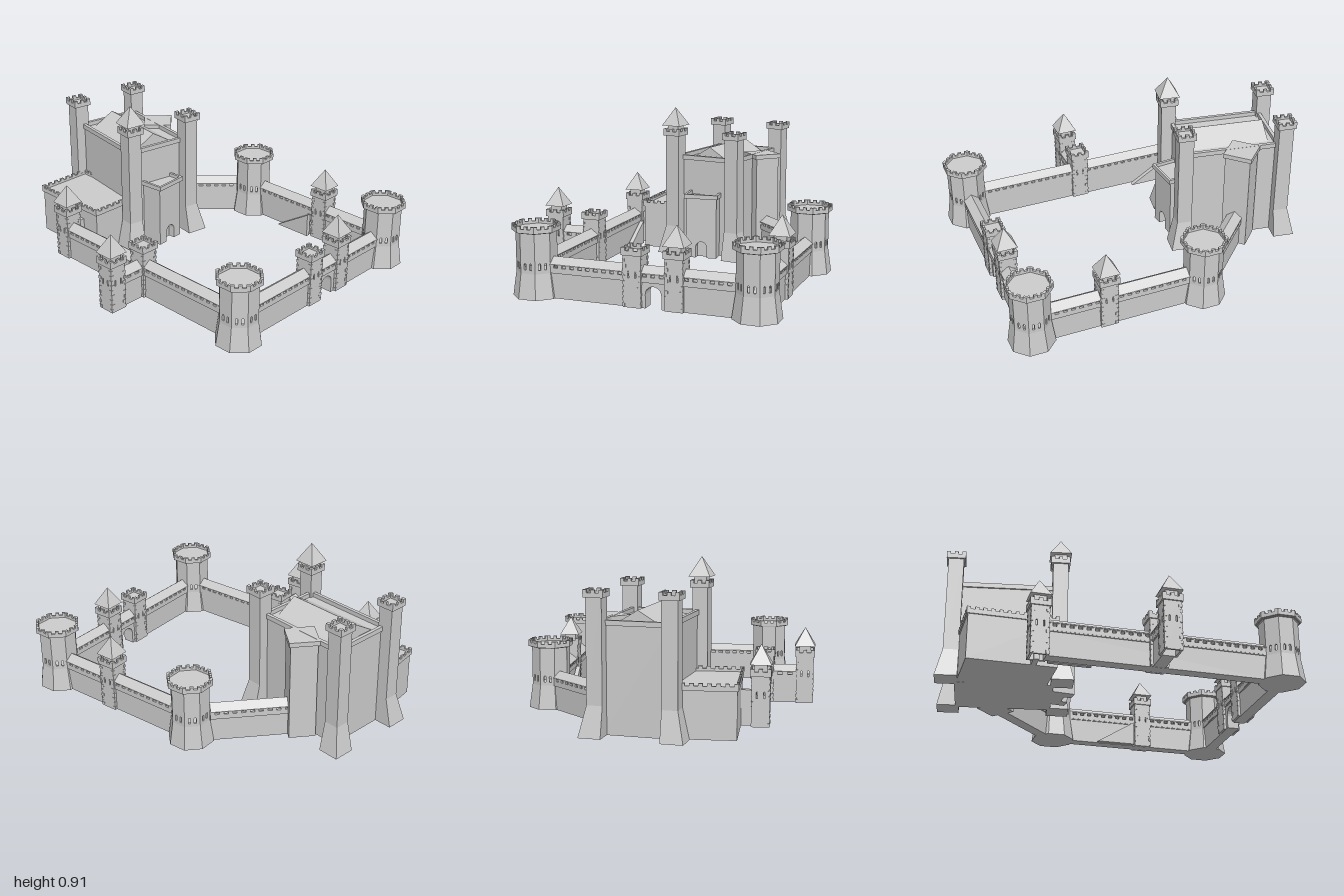
import * as THREE from 'three';

const mat = new THREE.MeshStandardMaterial({ color: 0xcccccc, flatShading: true });

function add(parent, name, geo, x = 0, y = 0, z = 0, ry = 0) {
  const m = new THREE.Mesh(geo, mat);
  m.name = name;
  m.position.set(x, y, z);
  m.rotation.y = ry;
  parent.add(m);
  return m;
}

function group(parent, name, x = 0, z = 0, ry = 0) {
  const g = new THREE.Group();
  g.name = name;
  g.position.set(x, 0, z);
  g.rotation.y = ry;
  parent.add(g);
  return g;
}

// Box standing on y0
function block(parent, name, w, y0, y1, d, x = 0, z = 0, ry = 0) {
  return add(parent, name, new THREE.BoxGeometry(w, y1 - y0, d), x, (y0 + y1) / 2, z, ry);
}

function extrude(points, depth, holes = []) {
  const s = new THREE.Shape(points.map(p => new THREE.Vector2(...p)));
  s.holes = holes;
  return new THREE.ExtrudeGeometry(s, { depth, bevelEnabled: false });
}

// Parapet panel with n merlons; its outer face lies on z = 0
function battlement(w, h, t, n, notch) {
  const pts = [[-w / 2, 0], [w / 2, 0]], m = w / (2 * n - 1);
  for (let i = 0; i < n; i++) {
    const x = w / 2 - 2 * i * m;
    pts.push([x, h], [x - m, h]);
    if (i < n - 1) pts.push([x - m, h - notch], [x - 2 * m, h - notch]);
  }
  return extrude(pts, t).translate(0, 0, -t);
}

// Parapet around a w by d rectangle
function parapet(parent, w, d, y, h, t, nw, nd, notch) {
  for (let i = 0; i < 4; i++) {
    const a = i * Math.PI / 2, odd = i % 2;
    const r = (odd ? w : d) / 2;
    add(parent, 'parapet', battlement(odd ? d : w, h, t, odd ? nd : nw, notch), Math.sin(a) * r, y, Math.cos(a) * r, a);
  }
}

// Hollow shaft made of flat sides, each with two arrow slits
function slitShaft(parent, sides, r, y0, y1, sw, sh, gap) {
  const w = 2 * r * Math.tan(Math.PI / sides), t = 0.012;
  const holes = [-gap, gap].map(x => {
    const p = new THREE.Path(), b = 0.16 - y0;
    p.moveTo(x - sw / 2, b);
    p.lineTo(x - sw / 2, b + sh);
    p.absarc(x, b + sh, sw / 2, Math.PI, 0, true);
    p.lineTo(x + sw / 2, b);
    p.closePath();
    return p;
  });
  const geo = extrude([[-w / 2, 0], [w / 2, 0], [w / 2, y1 - y0], [-w / 2, y1 - y0]], t, holes).translate(0, 0, r - t);
  for (let i = 0; i < sides; i++) add(parent, 'shaftSide', geo, 0, y0, 0, i * 2 * Math.PI / sides);
}

function pyramid(parent, half, y0, y1) {
  const g = new THREE.ConeGeometry(half * Math.SQRT2, y1 - y0, 4).rotateY(Math.PI / 4);
  add(parent, 'pyramidRoof', g, 0, (y0 + y1) / 2, 0);
}

function octagonTower(parent, x, z) {
  const g = group(parent, 'octagonTower', x, z), k = 1 / Math.cos(Math.PI / 8);
  const prism = (r1, r0, h) => new THREE.CylinderGeometry(r1 * k, r0 * k, h, 8).rotateY(Math.PI / 8);
  add(g, 'flaredBase', prism(0.103, 0.122, 0.14), 0, 0.07, 0);
  slitShaft(g, 8, 0.103, 0.14, 0.365, 0.012, 0.03, 0.016);
  add(g, 'topFloor', prism(0.118, 0.112, 0.012), 0, 0.366, 0);
  const side = 2 * 0.122 * Math.tan(Math.PI / 8);
  for (let i = 0; i < 8; i++) {
    const a = i * Math.PI / 4;
    add(g, 'crown', battlement(side, 0.037, 0.014, 3, 0.015), Math.sin(a) * 0.122, 0.364, Math.cos(a) * 0.122, a);
  }
}

function squareTower(parent, x, z, roofed) {
  const g = group(parent, 'squareTower', x, z);
  slitShaft(g, 4, 0.05, 0, 0.285, 0.008, 0.032, 0.02);
  // Corner stones
  for (const sx of [-1, 1]) for (const sz of [-1, 1]) for (let i = 0; i < 9; i++) {
    const long = i % 2;
    block(g, 'cornerStone', long ? 0.02 : 0.012, i * 0.03 + 0.005, i * 0.03 + 0.022, long ? 0.012 : 0.02,
      sx * (0.052 - (long ? 0.01 : 0.006)), sz * (0.052 - (long ? 0.006 : 0.01)));
  }
  block(g, 'topFloor', 0.11, 0.28, 0.294, 0.11);
  parapet(g, 0.116, 0.116, 0.28, 0.042, 0.012, 3, 3, 0.016);
  if (roofed) {
    block(g, 'roofCore', 0.07, 0.29, 0.346, 0.07);
    pyramid(g, 0.06, 0.345, 0.453);
  }
}

// Curtain wall with battlements on both sides and a small gabled roof
function wall(parent, x0, z0, x1, z1, gate) {
  const L = Math.hypot(x1 - x0, z1 - z0);
  const g = group(parent, 'curtainWall', (x0 + x1) / 2, (z0 + z1) / 2, -Math.atan2(z1 - z0, x1 - x0));
  const pts = [[-L / 2, 0]];
  if (gate !== undefined) {
    pts.push([gate - 0.045, 0]);
    for (let i = 0; i <= 10; i++) {
      const a = Math.PI * (1 - i / 10);
      pts.push([gate + 0.045 * Math.cos(a), 0.075 + 0.045 * Math.sin(a)]);
    }
    pts.push([gate + 0.045, 0]);
  }
  pts.push([L / 2, 0], [L / 2, 0.145], [-L / 2, 0.145]);
  add(g, 'wallBody', extrude(pts, 0.07).translate(0, 0, -0.035));
  block(g, 'wallWalk', L, 0.14, 0.15, 0.084);
  for (const a of [0, Math.PI])
    add(g, 'battlement', battlement(L, 0.045, 0.012, Math.max(2, Math.round(L / 0.045)), 0.02), 0, 0.145, a ? -0.043 : 0.043, a);
  const roof = extrude([[-0.047, 0.185], [0.047, 0.185], [0.047, 0.19], [0, 0.225], [-0.047, 0.19]], L);
  add(g, 'wallRoof', roof.translate(0, 0, -L / 2).rotateY(Math.PI / 2));
}

// Ramp rising along an inner wall face from z0 to z1
function ramp(parent, x, z0, z1) {
  const l = Math.abs(z1 - z0), s = Math.sign(z1 - z0);
  const geo = extrude([[-l / 2, 0], [l / 2, 0], [l / 2, 0.145]], 0.026).translate(0, 0, -0.013);
  add(parent, 'wallRamp', geo, x, 0, (z0 + z1) / 2, -s * Math.PI / 2);
}

// Tall corner tower whose foot spreads on its two outer sides
function keepTower(parent, sx, sz, roofed) {
  const g = group(parent, 'keepTower', sx * 0.205, sz * 0.3);
  block(g, 'shaft', 0.088, 0.17, 0.745, 0.088);
  const foot = new THREE.BoxGeometry(0.088, 0.17, 0.088), p = foot.attributes.position;
  for (let i = 0; i < p.count; i++) if (p.getY(i) < 0) {
    if (p.getX(i) * sx > 0) p.setX(i, sx * 0.082);
    if (p.getZ(i) * sz > 0) p.setZ(i, sz * 0.082);
  }
  add(g, 'spreadFoot', foot, 0, 0.085, 0);
  block(g, 'topFloor', 0.104, 0.738, 0.752, 0.104);
  parapet(g, 0.11, 0.11, 0.738, 0.042, 0.014, 3, 3, 0.016);
  if (roofed) {
    block(g, 'roofCore', 0.07, 0.75, 0.802, 0.07);
    pyramid(g, 0.062, 0.8, 0.91);
  }
}

function keep(parent) {
  const turn = THREE.MathUtils.degToRad(-9.5);
  const k = group(parent, 'keep', 0.055, -0.575, turn);
  block(k, 'keepBody', 0.38, 0, 0.59, 0.55);
  parapet(k, 0.4, 0.57, 0.587, 0.028, 0.02, 1, 1, 0);
  const roof = extrude([[-0.13, 0.588], [0.13, 0.588], [0, 0.667]], 0.47);
  add(k, 'keepRoof', roof.translate(0, 0, -0.235));
  for (const sx of [-1, 1]) for (const sz of [-1, 1]) keepTower(k, sx, sz, sx < 0 && sz > 0);

  // Diagonal side turret
  const t = group(parent, 'sideTurret', 0.28, -0.58, Math.PI / 4);
  block(t, 'turretBody', 0.152, 0, 0.59, 0.152);
  block(t, 'turretCap', 0.17, 0.587, 0.614, 0.17);

  // Entrance block with an arched door
  const e = group(parent, 'entranceBlock', 0.007, -0.265, 0.09);
  const door = [[-0.095, 0], [-0.035, 0]];
  for (let i = 0; i <= 10; i++) {
    const a = Math.PI * (1 - i / 10);
    door.push([0.035 * Math.cos(a), 0.065 + 0.035 * Math.sin(a)]);
  }
  door.push([0.035, 0], [0.095, 0], [0.095, 0.375], [-0.095, 0.375]);
  add(e, 'entranceFront', extrude(door, 0.04), 0, 0, 0.025);
  block(e, 'entranceBody', 0.19, 0, 0.375, 0.165, 0, -0.0575);
  parapet(e, 0.21, 0.16, 0.37, 0.026, 0.015, 1, 1, 0);

  // Low terrace beside the keep
  const p = group(parent, 'terrace', -0.265, -0.62);
  block(p, 'terraceBody', 0.335, 0, 0.272, 0.495);
  parapet(p, 0.35, 0.51, 0.26, 0.04, 0.012, 8, 12, 0.014);
  block(parent, 'terraceLink', 0.09, 0, 0.2, 0.03, -0.47, -0.505);
}

export function createModel() {
  const model = new THREE.Group();
  model.name = 'castle';

  octagonTower(model, -0.54, 0.875);
  octagonTower(model, 0.71, 0.875);
  octagonTower(model, 0.71, -0.14);

  // x, z, roofed
  for (const t of [[0.04, 0.875, false], [0.275, 0.875, true], [0.71, 0.44, true],
    [-0.54, 0.15, false], [-0.777, 0.15, true], [-0.54, -0.505, true]]) squareTower(model, ...t);

  wall(model, -0.44, 0.875, 0.61, 0.875, 0.07);
  wall(model, -0.54, 0.775, -0.54, -0.46);
  wall(model, 0.71, 0.775, 0.71, -0.04);
  wall(model, -0.735, 0.15, -0.585, 0.15);
  wall(model, 0.31, -0.55, 0.64, -0.22);
  ramp(model, -0.484, -0.2, -0.44);
  ramp(model, 0.653, 0.14, 0.375);

  keep(model);
  return model;
}
